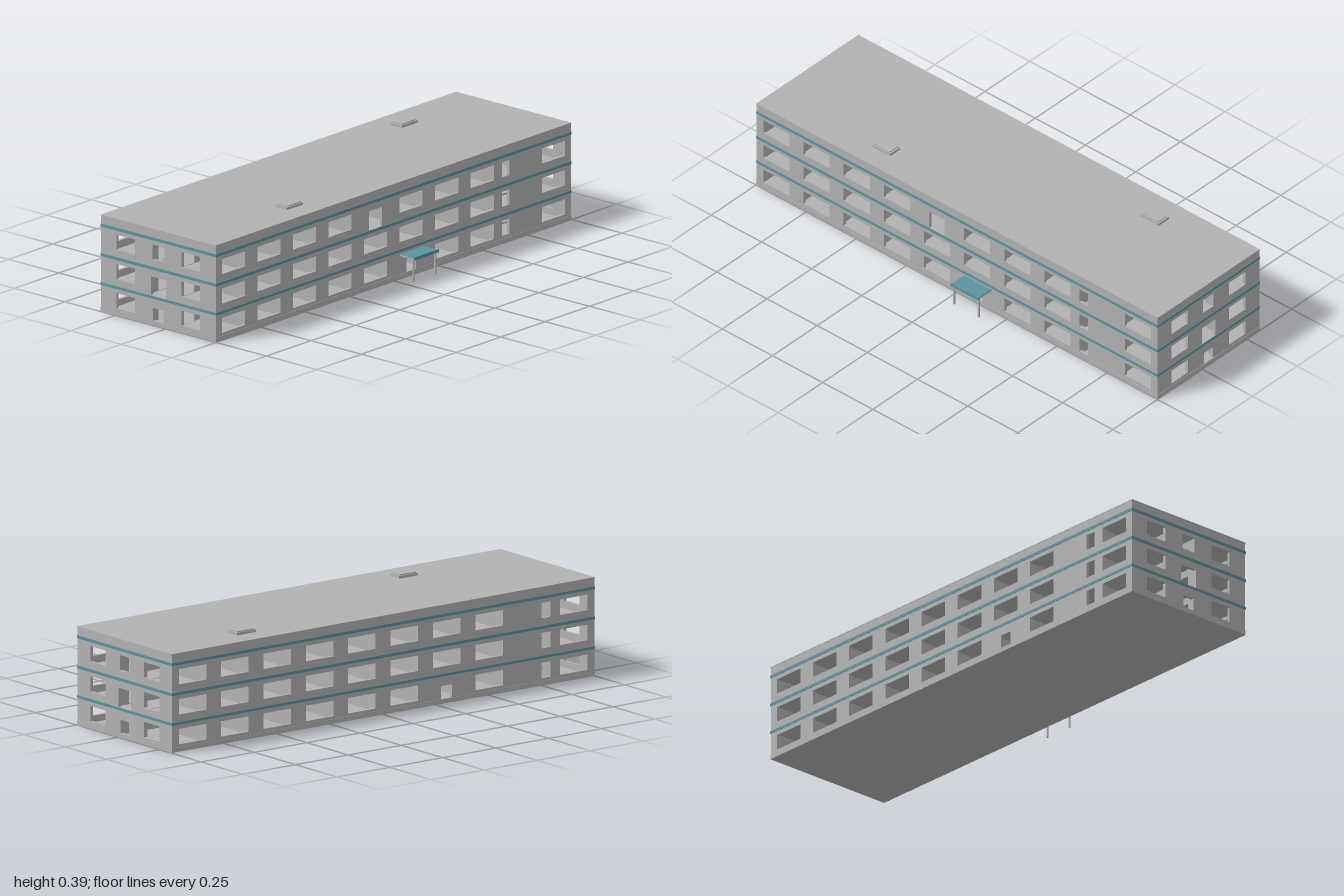
import * as THREE from 'three';

const X0 = -0.321, X1 = 0.248, Z = 0.998, T = 0.012;   // outer wall faces and thickness
const CX = (X0 + X1) / 2, W = X1 - X0;
const FLOORS = [0.003, 0.115, 0.229];
const SILL = [0.028, 0.142, 0.257], WIN_H = 0.059;
const COLUMNS = [-0.9, -0.7, -0.5, -0.3, -0.1, 0.1, 0.3, 0.5, 0.7, 0.9];

export function createModel() {
  const model = new THREE.Group();
  model.name = 'building';
  const concrete = new THREE.MeshStandardMaterial({ color: 0xb2b2b2 });
  concrete.name = 'concrete grey';
  const teal = new THREE.MeshStandardMaterial({ color: 0x5a949e });
  teal.name = 'teal trim';

  const add = (name, geo, mat = concrete) => {
    const mesh = new THREE.Mesh(geo, mat);
    mesh.name = name;
    model.add(mesh);
    return mesh;
  };
  // box given by its minimum and maximum corners
  const box = (name, x0, x1, y0, y1, z0, z1, mat) => {
    const mesh = add(name, new THREE.BoxGeometry(x1 - x0, y1 - y0, z1 - z0), mat);
    mesh.position.set((x0 + x1) / 2, (y0 + y1) / 2, (z0 + z1) / 2);
    return mesh;
  };
  const rect = (path, x0, x1, y0, y1) => {
    path.moveTo(x0, y0);
    path.lineTo(x1, y0);
    path.lineTo(x1, y1);
    path.lineTo(x0, y1);
    path.closePath();
    return path;
  };
  // wall panel with rectangular holes [u0, u1, v0, v1]
  const panel = (u0, u1, v0, v1, holes, depth) => {
    const shape = rect(new THREE.Shape(), u0, u1, v0, v1);
    for (const h of holes) shape.holes.push(rect(new THREE.Path(), ...h));
    return new THREE.ExtrudeGeometry(shape, { depth, bevelEnabled: false });
  };
  // wall running along z, its outer (+x) face at x
  const longWall = (name, x, u, v0, v1, holes, depth) => {
    const geo = panel(-u, u, v0, v1, holes, depth);
    geo.rotateY(-Math.PI / 2);
    add(name, geo).position.x = x;
  };
  // hollow band around the building
  const ring = (name, y0, y1, out, mat) => {
    const geo = panel(X0 - out, X1 + out, -Z - out, Z + out,
      [[X0 + 0.004, X1 - 0.004, -Z + 0.004, Z - 0.004]], y1 - y0);
    geo.rotateX(-Math.PI / 2);
    add(name, geo, mat).position.y = y0;
  };

  // end walls: two wide windows per floor and a corridor opening
  const endHoles = [[-0.063, -0.011, 0.0175, 0.068], [-0.075, 0, 0.115, 0.189], [-0.066, -0.007, 0.257, 0.316]];
  for (const y of SILL) {
    endHoles.push([-0.245, -0.153, y, y + WIN_H], [0.078, 0.17, y, y + WIN_H]);
  }
  add('frontWall', panel(X0, X1, 0, 0.375, endHoles, T)).position.z = Z - T;
  add('backWall', panel(X0, X1, 0, 0.375, endHoles, T)).position.z = -Z;

  // long walls: a row of windows per floor, with a narrow one at each stair
  const sideHoles = (stairZ, special) => {
    const holes = [];
    SILL.forEach((y, f) => {
      for (const z of COLUMNS) {
        const s = special.find(o => o.floor === f && o.z === z);
        if (s) holes.push(s.hole);
        else if (z === stairZ) holes.push([z + 0.048, z + 0.09, y, y + WIN_H]);
        else holes.push([z - 0.065, z + 0.065, y, y + WIN_H]);
      }
    });
    return holes;
  };
  const len = Z - T;
  longWall('rightSideWall', X1, len, 0, 0.375, sideHoles(-0.7, [
    { floor: 0, z: -0.1, hole: [-0.126, -0.074, 0.0175, 0.068] },
    { floor: 2, z: 0.1, hole: [0.063, 0.138, 0.229, 0.304] },
  ]), T);
  longWall('leftSideWall', X0 + T, len, 0, 0.375, sideHoles(0.7, [
    { floor: 0, z: 0.3, hole: [0.274, 0.326, 0.0175, 0.068] },
  ]), T);

  // floor slabs, teal bands, plinth and roof
  const inX0 = X0 + T, inX1 = X1 - T;
  box('groundSlab', X0, X1, 0, 0.003, -Z, Z);
  ring('plinth', 0, 0.017, 0.0015);
  [[0.104, 0.114], [0.217, 0.228], [0.332, 0.343]].forEach(([a, b]) => {
    box('floorSlab', inX0, inX1, a, b, -len, len);
    ring('tealBand', a, b, 0.002, teal);
  });
  box('roof', X0 - 0.001, X1 + 0.001, 0.374, 0.378, -1, 1);

  // corridor walls with a doorway per room, and room partitions
  const C0 = -0.09, C1 = 0.017, P = 0.006;
  const doors = [];
  for (const y of FLOORS) {
    for (const z of COLUMNS) doors.push([z - 0.037, z + 0.037, y + 0.0005, y + 0.0735]);
  }
  longWall('leftCorridorWall', C0, len, 0.002, 0.338, doors, P);
  longWall('rightCorridorWall', C1 + P, len, 0.002, 0.338, doors, P);
  for (let i = -4; i <= 4; i++) {
    const z = i * 0.2;
    box('leftPartition', inX0, C0 - P, 0.002, 0.338, z - P / 2, z + P / 2);
    box('rightPartition', C1 + P, inX1, 0.002, 0.338, z - P / 2, z + P / 2);
  }

  // stairs: an up flight and a return flight on each of two floors
  const STEPS = 8;
  for (const [dir, xs, zs] of [[-1, C0 - 0.03, 0.7], [1, C1 + 0.03, -0.7]]) {
    for (const y of FLOORS.slice(0, 2)) {
      for (let i = 0; i < STEPS; i++) {
        const run = 0.014, rise = 0.0066;
        for (const [k, side] of [[i, -1], [2 * STEPS - 1 - i, 1]]) {
          const h = y + (k + 1) * rise - 0.005;
          const step = add('stairStep', new THREE.BoxGeometry(run, 0.01, 0.075));
          step.position.set(xs + dir * (i + 0.5) * run, h, zs + side * 0.045);
        }
      }
      const lx = xs + dir * (STEPS * 0.014 + 0.02);
      box('stairLanding', lx - 0.02, lx + 0.02, y + 0.047, y + 0.054, zs - 0.09, zs + 0.09);
    }
  }

  // roof hatches
  for (const [x, z] of [[-0.208, -0.578], [0.134, 0.455]]) {
    box('hatchBase', x - 0.028, x + 0.028, 0.377, 0.388, z - 0.045, z + 0.045);
    box('hatchCap', x - 0.023, x + 0.023, 0.388, 0.392, z - 0.038, z + 0.038);
  }

  // entrance canopy on two posts
  box('canopySlab', X1, 0.319, 0.088, 0.094, -0.17, -0.036);
  box('canopyCover', X1, 0.319, 0.094, 0.0955, -0.17, -0.036, teal);
  box('canopyFascia', 0.319, 0.322, 0.086, 0.098, -0.172, -0.034, teal);
  for (const z of [-0.164, -0.042]) {
    box('canopyPost', 0.308, 0.314, 0, 0.088, z - 0.003, z + 0.003);
  }
  return model;
}
